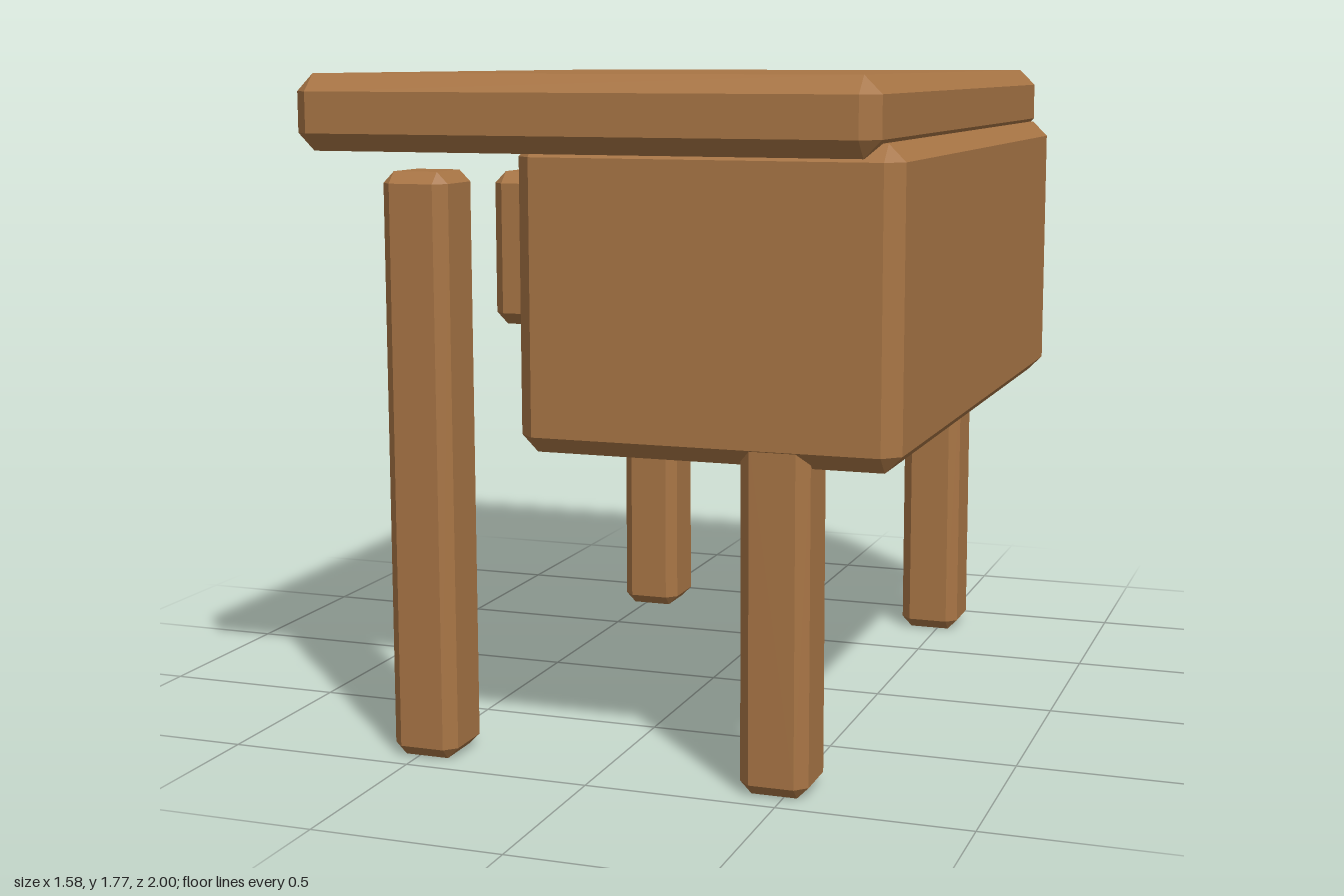
import * as THREE from 'three';
import { ConvexGeometry } from 'three/addons/geometries/ConvexGeometry.js';

// Box given by its min and max corners, with every edge chamfered by c
function chamferBox(min, max, c) {
  const half = min.map((m, i) => (max[i] - m) / 2);
  const mid = min.map((m, i) => (max[i] + m) / 2);
  const points = [];
  for (const sx of [-1, 1]) for (const sy of [-1, 1]) for (const sz of [-1, 1]) {
    const sign = [sx, sy, sz];
    for (let face = 0; face < 3; face++) {
      const p = sign.map((s, i) => s * (i === face ? half[i] : half[i] - c));
      points.push(new THREE.Vector3(...p));
    }
  }
  return new ConvexGeometry(points).translate(...mid);
}

export function createModel() {
  const group = new THREE.Group();
  const wood = new THREE.MeshStandardMaterial({ color: 0xa87545 });
  wood.name = 'wood';

  const add = (name, min, max, c) => {
    const mesh = new THREE.Mesh(chamferBox(min, max, c), wood);
    mesh.name = name;
    group.add(mesh);
  };

  // Overhanging top and the storage box beneath it
  add('tableTop', [-0.79, 1.58, -1], [0.74, 1.775, 1], 0.045);
  add('storageBox', [-0.2, 0.83, -0.973], [0.787, 1.615, 0.952], 0.043);

  // Tall open-side legs and the legs that carry the box
  for (const [end, z0, z1] of [['Front', 0.759, 0.95], ['Back', -0.93, -0.734]]) {
    add(`tallLeg${end}`, [-0.57, 0, z0], [-0.39, 1.53, z1], 0.03);
    add(`boxLeg${end}`, [0.385, 0, z0], [0.563, 0.92, z1], 0.03);
  }

  // Drawer front with two small pulls
  add('drawerFront', [-0.342, 1.13, -0.78], [-0.225, 1.525, 0.77], 0.03);
  for (const z of [-0.29, 0.24]) {
    add('drawerPull', [-0.43, 1.28, z - 0.045], [-0.36, 1.375, z + 0.045], 0.006);
  }
  return group;
}
